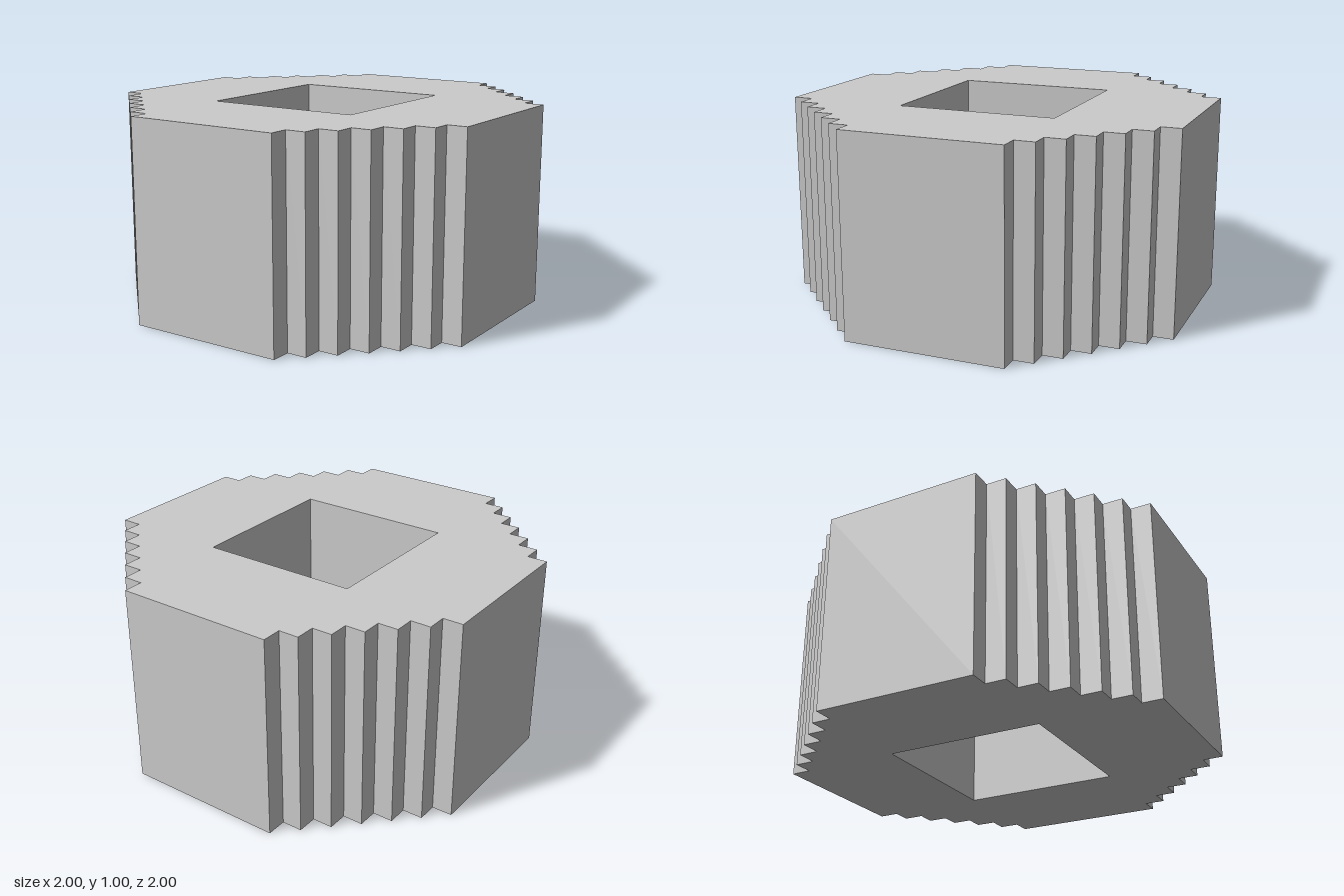
import * as THREE from 'three';

const HEIGHT = 1;
const STEP = 0.1;
const STEPS = 6;
const HALF = 0.4; // half width of the flat sides and of the square hole

// One stepped corner, repeated by quarter turns into a closed outline
function steppedOutline() {
  const corner = [new THREE.Vector2(1, HALF)];
  for (let i = 1; i <= STEPS; i++) {
    const x = 1 - STEP * i;
    corner.push(new THREE.Vector2(x, HALF + STEP * (i - 1)));
    corner.push(new THREE.Vector2(x, HALF + STEP * i));
  }
  const points = [];
  const centre = new THREE.Vector2();
  for (let q = 0; q < 4; q++) {
    for (const p of corner) points.push(p.clone().rotateAround(centre, q * Math.PI / 2));
  }
  return points;
}

export function createModel() {
  const group = new THREE.Group();
  group.name = 'steppedRing';

  // Stepped block with a square hole right through it
  const shape = new THREE.Shape(steppedOutline());
  shape.holes.push(new THREE.Path([
    new THREE.Vector2(-HALF, -HALF),
    new THREE.Vector2(-HALF, HALF),
    new THREE.Vector2(HALF, HALF),
    new THREE.Vector2(HALF, -HALF),
  ]));
  const geometry = new THREE.ExtrudeGeometry(shape, { depth: HEIGHT, bevelEnabled: false });
  geometry.rotateX(-Math.PI / 2);

  const material = new THREE.MeshStandardMaterial({ color: 0xcccccc, flatShading: true });
  const block = new THREE.Mesh(geometry, material);
  block.name = 'steppedBlock';
  group.add(block);
  return group;
}
